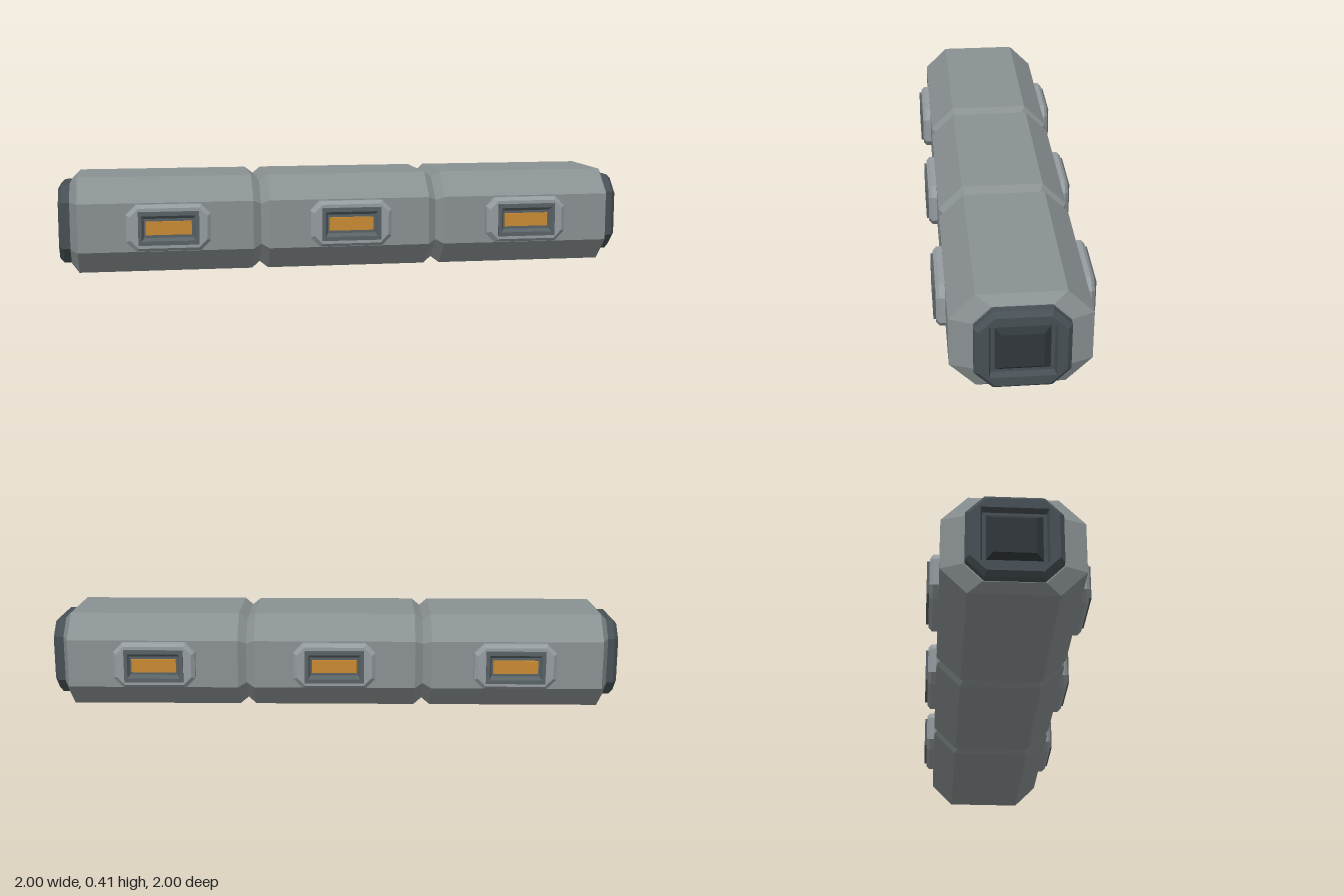
import * as THREE from 'three';

const material = (color) => new THREE.MeshStandardMaterial({ color, flatShading: true, roughness: 0.8 });

// Corners of a rectangle with cut corners, counter-clockwise
function ring([hw, hh, c, z]) {
  return [
    [hw, -hh + c], [hw, hh - c], [hw - c, hh], [-hw + c, hh],
    [-hw, hh - c], [-hw, -hh + c], [-hw + c, -hh], [hw - c, -hh],
  ].map(([x, y]) => [x, y, z]);
}

// Skin over sections [halfWidth, halfHeight, cornerCut, z], closed at both ends
function loft(name, sections, mat) {
  const rings = sections.map(ring);
  const pos = [];
  const tri = (a, b, c) => pos.push(...a, ...b, ...c);
  for (let i = 0; i < rings.length - 1; i++) {
    const a = rings[i], b = rings[i + 1];
    for (let j = 0; j < 8; j++) {
      const k = (j + 1) % 8;
      tri(a[j], a[k], b[k]);
      tri(a[j], b[k], b[j]);
    }
  }
  const first = rings[0], last = rings[rings.length - 1];
  for (let j = 1; j < 7; j++) {
    tri(last[0], last[j], last[j + 1]);
    tri(first[0], first[j + 1], first[j]);
  }
  const geometry = new THREE.BufferGeometry();
  geometry.setAttribute('position', new THREE.Float32BufferAttribute(pos, 3));
  geometry.computeVertexNormals();
  const mesh = new THREE.Mesh(geometry, mat);
  mesh.name = name;
  return mesh;
}

export function createModel() {
  const hullMat = material(0x8a9193);
  const plateMat = material(0x959c9f);
  const frameMat = material(0x596266);
  const darkMat = material(0x475055);
  const hatchMat = material(0x30373b);
  const amberMat = material(0xc98a32);

  const W = 0.269, H = 0.2025, CUT = 0.1;
  const model = new THREE.Group();
  model.name = 'corridorModule';
  const body = new THREE.Group();
  body.name = 'body';
  body.position.y = H;
  body.rotation.y = Math.PI / 4; // the corridor lies along the diagonal
  model.add(body);

  // Hull: three bays parted by V grooves, bevelled at both ends
  const hull = [[0.185, 0.17, 0.07, -1.18], [W, H, CUT, -1.146]];
  for (const z of [-0.38, 0.38]) {
    hull.push([W, H, CUT, z - 0.035], [W - 0.026, H - 0.026, 0.09, z], [W, H, CUT, z + 0.035]);
  }
  hull.push([W, H, CUT, 1.146], [0.185, 0.17, 0.07, 1.18]);
  body.add(loft('hull', hull, hullMat));

  // Docking collars with a recessed hatch, one at each end
  for (const [name, turn] of [['frontDock', 0], ['rearDock', Math.PI]]) {
    const dock = new THREE.Group();
    dock.name = name;
    dock.rotation.y = turn;
    dock.add(loft('collar', [
      [0.18, 0.168, 0.07, 1.165], [0.18, 0.168, 0.07, 1.21], [0.163, 0.15, 0.06, 1.228],
      [0.125, 0.112, 0, 1.228], [0.118, 0.105, 0, 1.2],
    ], darkMat));
    dock.add(loft('hatch', [[0.11, 0.098, 0, 1.195], [0.078, 0.072, 0, 1.222]], hatchMat));
    body.add(dock);
  }

  // Windows: one per bay on each side
  for (const side of [-1, 1]) {
    for (const z of [-0.771, 0, 0.771]) {
      const win = new THREE.Group();
      win.name = side > 0 ? 'leftWindow' : 'rightWindow';
      win.position.set(side * W, 0, z);
      win.rotation.y = side * Math.PI / 2;
      win.add(loft('plate', [
        [0.175, 0.097, 0.04, -0.01], [0.175, 0.097, 0.04, 0.022], [0.16, 0.084, 0.035, 0.036],
        [0.12, 0.065, 0, 0.036], [0.12, 0.065, 0, 0.02],
      ], plateMat));
      win.add(loft('frame', [
        [0.126, 0.07, 0, 0.02], [0.126, 0.07, 0, 0.046], [0.112, 0.053, 0, 0.046], [0.102, 0.04, 0, 0.028],
      ], frameMat));
      win.add(loft('pane', [[0.097, 0.03, 0, 0.02], [0.095, 0.028, 0, 0.034]], amberMat));
      body.add(win);
    }
  }
  return model;
}
